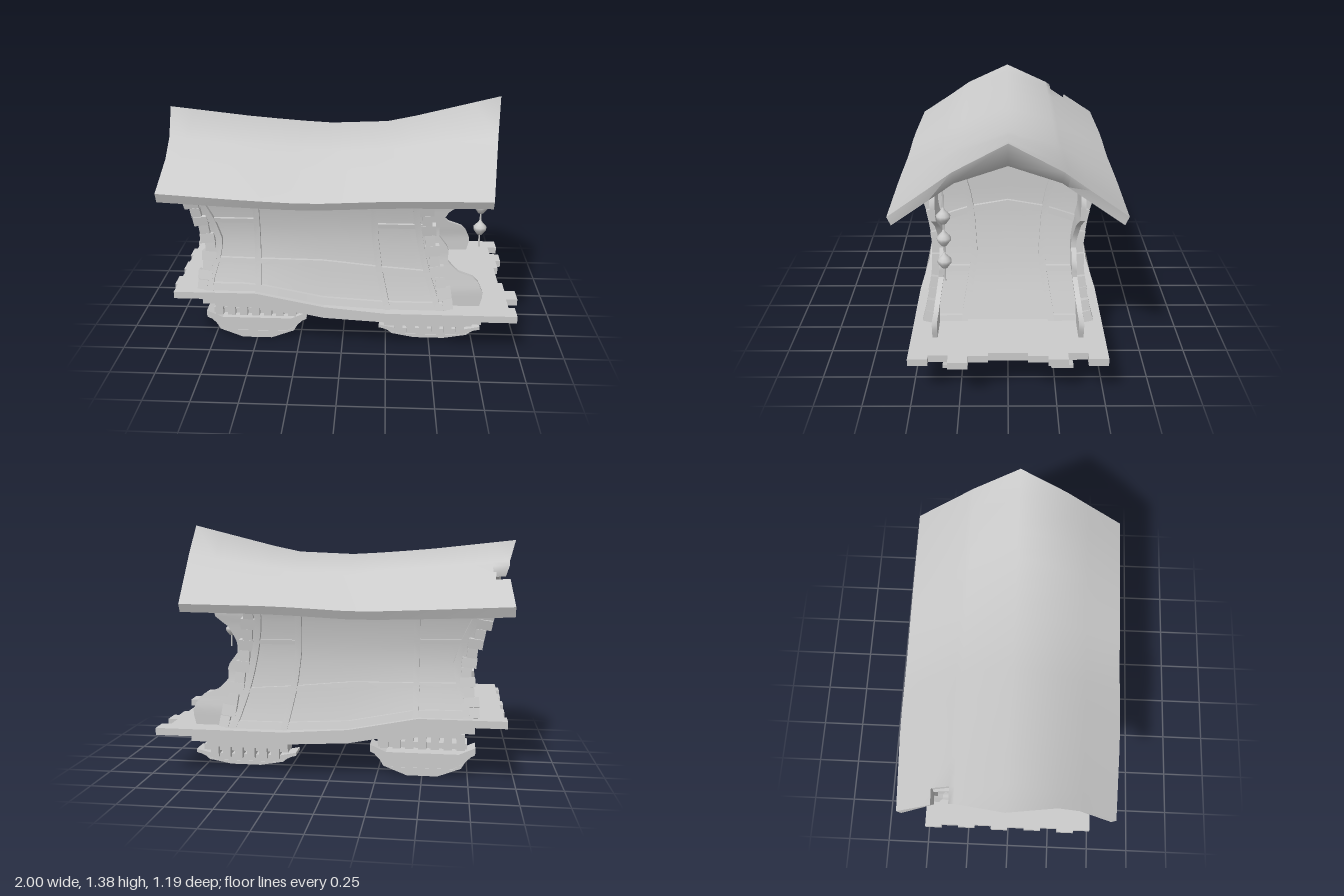
import * as THREE from 'three';
import { toCreasedNormals } from 'three/addons/utils/BufferGeometryUtils.js';

const mat = new THREE.MeshStandardMaterial({ color: 0xcccccc, side: THREE.DoubleSide });
const V = (x, y, z) => new THREE.Vector3(x, y, z);
const mix = (a, b, t) => a + (b - a) * t;

// piecewise-linear lookup
const pw = (pts, t) => {
  if (t <= pts[0][0]) return pts[0][1];
  for (let i = 1; i < pts.length; i++) {
    const [a, b] = [pts[i - 1], pts[i]];
    if (t <= b[0]) return mix(a[1], b[1], (t - a[0]) / (b[0] - a[0]));
  }
  return pts[pts.length - 1][1];
};

// guiding curves of the sagging hull
const floorY = [[-0.95, 0.36], [-0.48, 0.36], [-0.1, 0.285], [0.25, 0.265], [1, 0.265]];
const f = x => pw(floorY, x);
const halfWidth = [[0.25, 0.45], [0.32, 0.43], [0.4, 0.412], [0.55, 0.39], [0.7, 0.386], [0.85, 0.408], [0.95, 0.435], [1.03, 0.47]];
// half width of the house; the flared foot follows the floor
const w = (x, y) => pw(halfWidth, y - (f(x) - 0.265) * Math.min(1, Math.max(0, (0.7 - y) / 0.3)));
const backX = y => pw([[0.33, -0.78], [0.5, -0.735], [0.6, -0.72], [0.75, -0.76], [0.92, -0.83], [1.1, -0.86]], y);
const porchX = y => pw([[0.27, 0.59], [0.35, 0.56], [0.5, 0.51], [0.65, 0.475], [0.8, 0.45], [0.92, 0.44]], y);
const endX = (e, y) => (e > 0 ? porchX(y) : backX(y));

export function createModel() {
  const root = new THREE.Group();
  const add = (name, geo, x = 0, y = 0, z = 0) => {
    const m = new THREE.Mesh(geo, mat);
    m.name = name;
    m.position.set(x, y, z);
    root.add(m);
    return m;
  };
  const box = (name, sx, sy, sz, x, y, z) => add(name, new THREE.BoxGeometry(sx, sy, sz), x, y, z);

  // closed curved sheet: P(u, v, offset), between offset lo and hi
  const slab = (name, nu, nv, P, lo, hi, crease = 0.5, skip = () => false) => {
    const pos = [], idx = [], n = (nu + 1) * (nv + 1);
    for (const off of [hi, lo])
      for (let i = 0; i <= nu; i++) for (let j = 0; j <= nv; j++) pos.push(...P(i / nu, j / nv, off).toArray());
    const c = P(0.5, 0.5, hi);
    const normal = P(0.51, 0.5, hi).sub(c).cross(P(0.5, 0.51, hi).sub(c));
    const flip = normal.dot(c.clone().sub(P(0.5, 0.5, lo))) < 0;
    const quad = (a, b, c2, d) => (flip ? idx.push(a, c2, b, a, d, c2) : idx.push(a, b, c2, a, c2, d));
    const id = (i, j) => i * (nv + 1) + j;
    const gone = (i, j) => i < 0 || j < 0 || i >= nu || j >= nv || skip(i, j);
    for (let i = 0; i < nu; i++) for (let j = 0; j < nv; j++) {
      if (gone(i, j)) continue;
      const a = id(i, j), b = id(i + 1, j), d = id(i + 1, j + 1), e = id(i, j + 1);
      quad(a, b, d, e);
      quad(a + n, e + n, d + n, b + n);
      for (const [di, dj, p, q] of [[0, -1, a, b], [1, 0, b, d], [0, 1, d, e], [-1, 0, e, a]])
        if (gone(i + di, j + dj)) quad(p, p + n, q + n, q);
    }
    const g = new THREE.BufferGeometry();
    g.setAttribute('position', new THREE.Float32BufferAttribute(pos, 3));
    g.setIndex(idx);
    return add(name, toCreasedNormals(g, crease));
  };

  // outline in x,y extruded along z, centred on z
  const extrude = (name, pts, depth, z) => {
    const g = new THREE.ExtrudeGeometry(new THREE.Shape(pts.map(p => new THREE.Vector2(...p))), { depth, bevelEnabled: false });
    return add(name, g, 0, 0, z - depth / 2);
  };
  // layer that follows the floor curve
  const layer = (name, x0, x1, drop, thick, depth, z = 0) => {
    const xs = [x0, ...floorY.map(p => p[0]).filter(x => x > x0 && x < x1), x1];
    return extrude(name, [...xs.map(x => [x, f(x) - drop - thick]), ...xs.reverse().map(x => [x, f(x) - drop])], depth, z);
  };

  // ragged deck planks, drawn slightly together at the rear
  [0.97, 0.915, 0.97, 0.94, 0.915, 0.915, 0.94, 1, 0.935, 0.97].forEach((x1, i) => {
    const plank = layer('deckPlank', -0.95 + [0, 0.015, 0.005, 0.02][i % 4], x1, 0, 0.04, 0.102, -0.459 + i * 0.102);
    const p = plank.geometry.attributes.position, z0 = plank.position.z;
    for (let k = 0; k < p.count; k++) if (p.getX(k) < 0) p.setZ(k, (p.getZ(k) + z0) * 0.955 - z0);
  });
  // stepped base below the deck
  layer('baseLayer', -0.78, 0.78, 0.04, 0.04, 0.93);
  layer('rearBaseStep', -0.71, -0.26, 0.08, 0.035, 0.87);
  layer('frontBaseStep', 0.24, 0.7, 0.08, 0.035, 0.87);

  // undercarriages: cross beams on layered rockers
  for (const [cx, top, h, count, railY, base, k] of [[-0.5, 0.25, 0.09, 7, 0.177, 0, 1], [0.5, 0.15, 0.08, 6, 0.121, 0.025, 0.47]]) {
    for (let i = 0; i < count; i++)
      box('crossBeam', 0.045, h, 0.75, cx + (i - (count - 1) / 2) * 0.07, top - h / 2, 0);
    for (const s of [-1, 1]) {
      box('rockerRail', 0.49, 0.033, 0.115, cx, railY, s * 0.29);
      const arc = (name, a, b, depth) => extrude(name,
        [[-a[0], a[1]], [-b[0], b[1]], [-b[2], b[3]], [b[2], b[3]], [b[0], b[1]], [a[0], a[1]], [a[2], a[3]], [-a[2], a[3]]]
          .map(([x, y]) => [cx + x, base + y * k]), depth, s * 0.29);
      arc('rockerTop', [0.29, 0.17, 0.2, 0.13], [0.29, 0.13, 0.2, 0.085], 0.118);
      arc('rockerMiddle', [0.28, 0.13, 0.2, 0.085], [0.235, 0.085, 0.17, 0.045], 0.108);
      arc('rockerBottom', [0.235, 0.085, 0.17, 0.045], [0.215, 0.05, 0.085, 0], 0.114);
    }
  }

  // side walls with their timber frames
  for (const s of [-1, 1]) {
    const at = (x, y, off) => V(x, y, s * (w(x, y) + off));
    slab('sideWall', 12, 10, (u, v, off) => {
      const y0 = mix(0.28, 1, v), x = mix(backX(y0), porchX(y0), u);
      return at(x, mix(f(x), 1, v), off);
    }, -0.025, -0.004);
    const rail = (x0, x1, yAt, h) => slab('sideRail', 12, 1, (u, v, off) => {
      const m = mix(x0 ?? -0.75, x1 ?? 0.5, u), ym = yAt(m);
      const x = mix(x0 ?? backX(ym), x1 ?? porchX(ym), u);
      return at(x, yAt(x) + (v - 0.5) * h, off);
    }, -0.01, 0.014);
    rail(null, null, () => 0.91, 0.035);
    rail(null, null, x => pw([[-0.75, 0.53], [-0.1, 0.52], [0.2, 0.49], [0.55, 0.465]], x), 0.028);
    rail(null, null, x => f(x) + 0.02, 0.04);
    rail(null, -0.46, () => 0.765, 0.025);
    rail(0.18, null, () => 0.745, 0.025);
    const post = (xAt, width) => slab('sidePost', 1, 10, (u, v, off) => {
      const x = xAt(mix(0.28, 0.95, v));
      return at(x + (u - 0.5) * width, mix(f(x), 0.95, v), off);
    }, -0.01, 0.018);
    post(() => -0.465, 0.032);
    post(y => pw([[0.28, 0.255], [0.5, 0.205], [0.7, 0.18], [0.92, 0.175]], y), 0.035);
    post(y => backX(y) + 0.045, 0.035);
    post(y => porchX(y) - 0.045, 0.035);

    // toothed corner blocks, leaning with the wall
    for (const e of [-1, 1]) {
      const n = 12, y0 = f(endX(e, 0.3)), step = (1 - y0) / n;
      for (let i = 0; i < n; i++) {
        const y = y0 + (i + 0.5) * step, x = endX(e, y);
        const b = box('cornerBlock', i % 2 ? 0.08 : 0.055, step, 0.05, x + e * 0.01, y, s * (w(x, y) - 0.006));
        b.rotation.z = -Math.atan((endX(e, y + 0.03) - endX(e, y - 0.03)) / 0.06) * 0.4;
        b.rotation.x = s * Math.atan((w(x, y + 0.03) - w(x, y - 0.03)) / 0.06);
      }
    }

    // scalloped porch screen
    const edge = y => pw([[0.26, 0.77], [0.34, 0.79], [0.43, 0.75], [0.47, 0.64], [0.53, 0.585], [0.6, 0.59], [0.68, 0.53],
      [0.74, 0.535], [0.82, 0.575], [0.88, 0.65], [0.98, 0.65], [1.03, 0.62]], y);
    slab('porchScreen', 2, 26, (u, v, off) => {
      const y = mix(0.26, 1.03, v);
      return V(mix(porchX(y) - 0.02, edge(y), u), y, s * (Math.min(w(0.6, y) - 0.035, 0.385) + off));
    }, -0.015, 0.012);
  }

  // end walls with arched frames
  for (const e of [-1, 1]) {
    const at = (z, y, off) => V(endX(e, y) + e * off, y, z);
    const y0 = f(endX(e, 0.3)), peak = e > 0 ? 1.165 : 1.2;
    const topY = q => pw([[0, peak], [0.55, peak - 0.045], [1, 1]], Math.abs(q));
    slab('endWall', 12, 12, (u, v, off) => {
      const q = u * 2 - 1, y = mix(y0, topY(q), v);
      return at(q * (w(endX(e, y), y) - 0.01), y, off);
    }, -0.02, 0);
    const rail = (z0, z1, yAt, h) => slab('endRail', 12, 1, (u, v, off) => {
      const z = mix(z0, z1, u);
      return at(z, yAt(Math.abs(z)) + (v - 0.5) * h, off);
    }, -0.01, 0.018);
    rail(-0.43, 0.43, z => topY(z / 0.46) - 0.015, 0.03);
    rail(-0.39, 0.39, z => pw([[0, 0.9], [0.2, 0.865], [0.4, 0.8]], z), 0.035);
    for (const s of [-1, 1]) {
      rail(s * 0.19, s * 0.39, () => 0.54, 0.03);
      rail(s * 0.22, s * 0.42, () => y0 + 0.015, 0.03);
      slab('endPost', 1, 12, (u, v, off) => {
        const y = mix(y0, 1.11, v);
        const z = pw([[0.28, 0.235], [0.48, 0.2], [0.6, 0.18], [0.85, 0.195], [0.95, 0.21], [1.1, 0.25]], y);
        return at(s * (z + (u - 0.5) * 0.035), y, off);
      }, -0.01, 0.02);
    }
  }

  // sagging roof with a notch broken out of its rear edge
  const cols = [-1, -0.67, -0.5, -0.45, 0, 0.45, 0.67, 1];
  const nu = 12, nv = cols.length - 1;
  slab('roof', nu, nv, (u, v, off) => {
    const c = v * nv, j = Math.min(Math.floor(c + 1e-6), nv - 1), q = mix(cols[j], cols[j + 1], c - j), a = Math.abs(q);
    const inset = (1 - off) * (1 - a) * 0.038;
    const x0 = pw([[0, -1], [0.45, -0.95], [0.75, -0.945], [1, -0.965]], a) + inset;
    const x1 = pw([[0, 0.87], [0.45, 0.83], [1, 0.787]], a) - inset;
    const r = u * nu, x = r < 1 ? mix(x0, -0.86, r) : mix(-0.86, x1, (r - 1) / (nu - 1));
    const ridge = pw([[-1, 1.295], [-0.5, 1.24], [-0.1, 1.21], [0.27, 1.225], [0.87, 1.375]], x);
    const mid = pw([[-1, 1.192], [-0.1, 1.123], [0.27, 1.14], [0.83, 1.217]], x);
    const eave = pw([[-1, 0.975], [-0.17, 0.94], [0.27, 0.962], [0.8, 0.968]], x);
    const half = pw([[-1, 0.57], [-0.5, 0.595], [1, 0.595]], x) - (1 - off) * 0.02;
    const rim = pw([[-1, 0.055], [-0.17, 0.045], [0.8, 0.045]], x);
    const thick = pw([[0, pw([[-1, 0.055], [0.3, 0.06], [0.83, 0.115]], x)], [0.45, 0.06], [1, rim]], a);
    return V(x, pw([[0, ridge], [0.45, mid], [1, eave]], a) - (1 - off) * thick, q * half);
  }, 0, 1, 1.2, (i, j) => i === 0 && j === 1);

  // hanging string of lanterns
  add('lanternCord', new THREE.CylinderGeometry(0.005, 0.005, 0.52, 6), 0.757, 0.86, 0.32);
  const bulb = [[0, -0.045], [0.015, -0.04], [0.035, -0.012], [0.036, 0.005], [0.022, 0.02], [0.009, 0.035], [0, 0.06]];
  for (const y of [0.96, 0.84, 0.715])
    add('lantern', new THREE.LatheGeometry(bulb.map(p => new THREE.Vector2(...p)), 10), 0.757, y, 0.32);

  return root;
}
